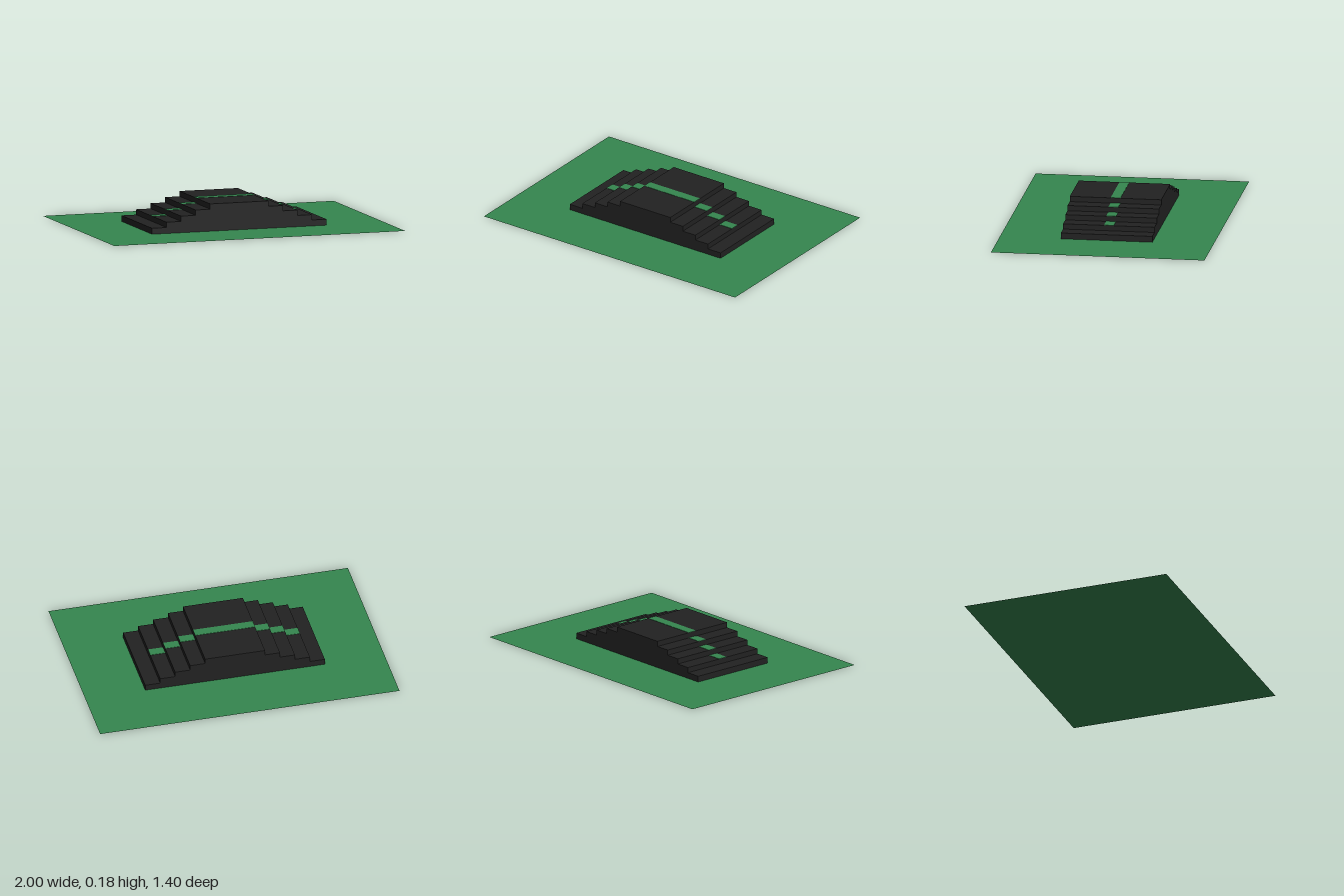
import * as THREE from 'three';

export function createModel() {
  const model = new THREE.Group();
  const green = new THREE.MeshStandardMaterial({ color: 0x35864f });
  green.name = 'green';
  green.side = THREE.DoubleSide;
  const black = new THREE.MeshStandardMaterial({ color: 0x222222 });
  black.name = 'black';

  const add = (name, geometry, material, x, y, z) => {
    const mesh = new THREE.Mesh(geometry, material);
    mesh.name = name;
    mesh.position.set(x, y, z);
    model.add(mesh);
    return mesh;
  };

  // Flat ground sheet
  add('ground', new THREE.PlaneGeometry(2, 1.4).rotateX(-Math.PI / 2), green, 0, 0, 0);

  // Stepped platform: one solid profile, extruded along z
  const widths = [0.6, 0.5, 0.4, 0.3, 0.2];
  const tops = [0.04, 0.075, 0.11, 0.145, 0.18];
  const base = 0.001;
  const right = [[widths[0], base]];
  widths.forEach((w, i) => {
    right.push([w, tops[i]]);
    if (i < 4) right.push([widths[i + 1], tops[i]]);
  });
  const left = right.map(([x, y]) => [-x, y]).reverse();
  const profile = new THREE.Shape([...right, ...left].map(([x, y]) => new THREE.Vector2(x, y)));
  const steps = new THREE.ExtrudeGeometry(profile, { depth: 0.6, bevelEnabled: false });
  add('steppedPlatform', steps, black, 0, 0, -0.3);

  // Narrow centre strips on the treads and the top
  const strip = (name, width, x, y) =>
    add(name, new THREE.BoxGeometry(width, 0.002, 0.064), green, x, y + 0.001, 0);
  for (const side of [-1, 1]) {
    for (let i = 1; i < 4; i++) strip('treadStrip', 0.1, side * (widths[i] - 0.05), tops[i]);
  }
  strip('topStrip', 0.4, 0, tops[4]);

  return model;
}
